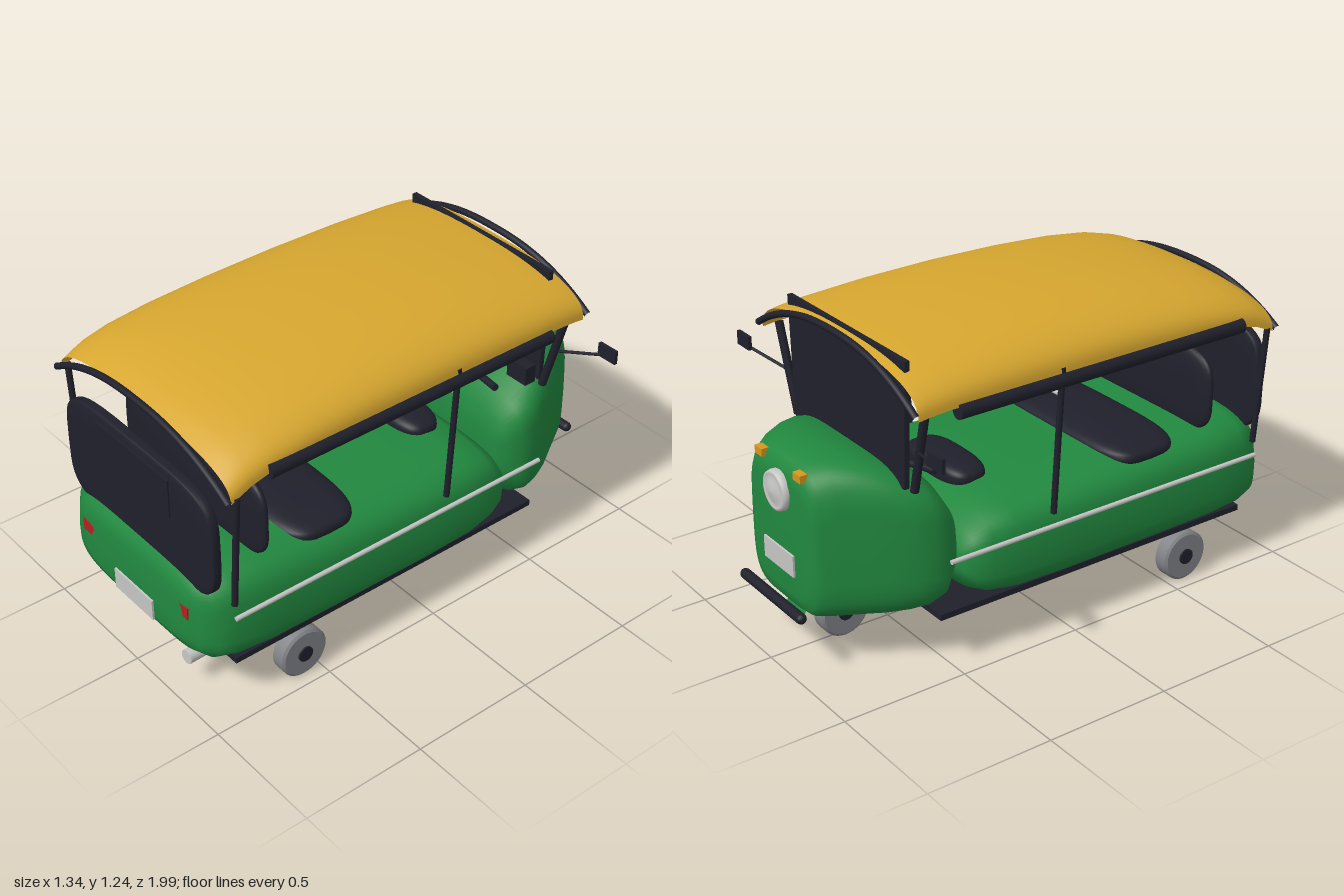
import * as THREE from 'three';

const mat = (name, color) => {
  const m = new THREE.MeshStandardMaterial({ color });
  m.name = name;
  return m;
};

export function createModel() {
  const green = mat('green paint', 0x21883f);
  const yellow = mat('yellow canopy', 0xd6a62f);
  yellow.side = THREE.DoubleSide;
  const greenSheet = green;
  greenSheet.side = THREE.DoubleSide;
  const dark = mat('dark trim', 0x20202c);
  const grey = mat('grey tyre', 0x828488);
  const silver = mat('silver metal', 0xc6c7c5);
  const red = mat('red lamp', 0xb52020);
  const amber = mat('amber lamp', 0xd8981e);

  const model = new THREE.Group();
  model.name = 'threeWheeler';
  const V = (x, y, z) => new THREE.Vector3(x, y, z);
  const add = (name, geo, material, x = 0, y = 0, z = 0) => {
    const m = new THREE.Mesh(geo, material);
    m.name = name;
    m.position.set(x, y, z);
    model.add(m);
    return m;
  };
  const box = (name, w, h, d, material, x, y, z) =>
    add(name, new THREE.BoxGeometry(w, h, d), material, x, y, z);
  const rod = (name, a, b, r, material, sides = 12) => {
    const m = add(name, new THREE.CylinderGeometry(r, r, a.distanceTo(b), sides), material);
    m.position.copy(a).lerp(b, 0.5);
    m.quaternion.setFromUnitVectors(V(0, 1, 0), b.clone().sub(a).normalize());
    return m;
  };
  const pw = (v, e) => Math.sign(v) * Math.abs(v) ** e;

  // Rounded hull from stations [z, halfWidth, bottom, top], listed toward -z
  const hull = (stations, n, taper) => {
    const N = 56, pos = [], idx = [];
    stations.forEach(([z, w, b, t]) => {
      for (let i = 0; i < N; i++) {
        const a = (i / N) * Math.PI * 2;
        const u = pw(Math.cos(a), 2 / n), v = pw(Math.sin(a), 2 / n);
        pos.push(u * w * (1 - taper * Math.max(0, v)), (b + t) / 2 + (v * (t - b)) / 2, z);
      }
    });
    const last = stations.length - 1;
    for (let s = 0; s < last; s++)
      for (let i = 0; i < N; i++) {
        const a = s * N + i, b = s * N + ((i + 1) % N);
        idx.push(a, a + N, b, b, a + N, b + N);
      }
    [0, last].forEach((s) => {
      const [z, , b, t] = stations[s], c = pos.length / 3;
      pos.push(0, (b + t) / 2, z);
      for (let i = 0; i < N; i++) {
        const p = s * N + i, q = s * N + ((i + 1) % N);
        if (s === 0) idx.push(c, p, q);
        else idx.push(c, q, p);
      }
    });
    const g = new THREE.BufferGeometry();
    g.setAttribute('position', new THREE.Float32BufferAttribute(pos, 3));
    g.setIndex(idx);
    g.computeVertexNormals();
    return g;
  };

  // Cushion: sphere reshaped to a squarish outline with a lens or slab section
  const cushion = (hx, hy, hz, n, e) => {
    const g = new THREE.SphereGeometry(1, 48, 24);
    g.rotateX(Math.PI / 2);
    const p = g.attributes.position;
    for (let i = 0; i < p.count; i++) {
      const x = p.getX(i), y = p.getY(i), z = p.getZ(i);
      const r = Math.hypot(x, y) || 1e-6, c = x / r, s = y / r;
      const k = r ** e;
      p.setXYZ(i, pw(c, 2 / n) * k * hx, pw(s, 2 / n) * k * hy, pw(z, e) * hz);
    }
    g.computeVertexNormals();
    return g;
  };

  // Passenger tub and front cowl
  add('passengerTub', hull([
    [0.982, 0.3, 0.27, 0.49], [0.968, 0.38, 0.235, 0.54], [0.93, 0.435, 0.21, 0.583],
    [0.85, 0.462, 0.197, 0.604], [0.7, 0.475, 0.193, 0.6], [0.35, 0.475, 0.19, 0.582],
    [0, 0.475, 0.19, 0.57], [-0.22, 0.47, 0.194, 0.565], [-0.33, 0.455, 0.21, 0.545],
    [-0.39, 0.435, 0.24, 0.5], [-0.43, 0.4, 0.32, 0.42],
  ], 4.5, 0.06), green);
  add('frontCowl', hull([
    [-0.435, 0.34, 0.38, 0.53], [-0.45, 0.385, 0.31, 0.61], [-0.5, 0.42, 0.225, 0.69],
    [-0.56, 0.424, 0.203, 0.738], [-0.62, 0.405, 0.196, 0.768], [-0.69, 0.372, 0.194, 0.793],
    [-0.77, 0.32, 0.195, 0.808], [-0.85, 0.268, 0.198, 0.803], [-0.9, 0.236, 0.205, 0.78],
    [-0.922, 0.215, 0.225, 0.745], [-0.932, 0.18, 0.27, 0.7],
  ], 4.5, 0.03), green);
  box('floorPlate', 0.86, 0.024, 1.41, dark, 0, 0.214, 0.155);

  // Arched canopy shell: [z, crown height, edge height]
  const roofRows = [
    [0.905, 1.105, 0.975], [0.87, 1.13, 0.99], [0.82, 1.153, 1.012], [0.72, 1.18, 1.035], [0.55, 1.207, 1.045],
    [0.3, 1.226, 1.05], [0, 1.235, 1.05], [-0.3, 1.228, 1.05], [-0.55, 1.207, 1.05],
    [-0.64, 1.195, 1.045], [-0.68, 1.185, 1.04],
  ];
  const M = 40;
  const arch = (u) => Math.max(0, 1 - Math.abs(u) ** 2.5) ** 0.4;
  const roofPos = [], roofIdx = [];
  roofRows.forEach(([z, c, e], r) => {
    for (let i = 0; i <= M; i++) {
      const u = Math.sin((i / M - 0.5) * Math.PI);
      roofPos.push(u * 0.508, e + (c - e) * arch(u), z);
      if (r && i) {
        const b = r * (M + 1) + i, a = b - M - 1;
        roofIdx.push(a - 1, a, b - 1, a, b, b - 1);
      }
    }
  });
  const roofGeo = new THREE.BufferGeometry();
  roofGeo.setAttribute('position', new THREE.Float32BufferAttribute(roofPos, 3));
  roofGeo.setIndex(roofIdx);
  roofGeo.computeVertexNormals();
  add('canopy', roofGeo, yellow);

  // Bows at both canopy ends
  [['rearBow', 0.918, 1.118, 0.985], ['frontBow', -0.693, 1.2, 1.06]].forEach(([name, z, c, e]) => {
    const pts = [];
    for (let i = 0; i <= 16; i++) {
      const u = i / 8 - 1;
      pts.push(V(u * 0.515, e + (c - e) * (1 - Math.abs(u) ** 2.4), z));
    }
    add(name, new THREE.TubeGeometry(new THREE.CatmullRomCurve3(pts), 40, 0.013, 8), dark);
  });

  // Windscreen, tapering slightly toward its foot
  const screen = new THREE.BoxGeometry(0.76, 0.48, 0.02, 1, 4, 1);
  const sp = screen.attributes.position;
  for (let i = 0; i < sp.count; i++) sp.setX(i, sp.getX(i) * (0.97 + 0.1 * sp.getY(i)));
  add('windscreen', screen, dark, 0, 0.96, -0.635);

  // Rear curtain with window flap, seats
  add('rearCurtain', cushion(0.445, 0.23, 0.028, 4.5, 0.35), dark, 0, 0.728, 0.925);
  box('rearWindow', 0.435, 0.155, 0.008, dark, 0, 0.848, 0.954);
  add('backrest', cushion(0.42, 0.18, 0.04, 4, 0.8), dark, 0, 0.725, 0.7);
  const bench = cushion(0.41, 0.17, 0.055, 4, 0.7).rotateX(-Math.PI / 2);
  add('passengerSeat', bench, dark, 0, 0.56, 0.42);
  const saddle = cushion(0.19, 0.09, 0.05, 3, 0.7).rotateX(-Math.PI / 2);
  add('driverSeat', saddle, dark, 0, 0.565, -0.23);

  // Mirrored frame, trim, lamps and mirrors
  for (const s of [-1, 1]) {
    rod('rearPost', V(s * 0.466, 0.51, 0.88), V(s * 0.505, 0.99, 0.88), 0.012, dark);
    rod('middlePost', V(s * 0.462, 0.5, -0.08), V(s * 0.5, 1.08, -0.08), 0.012, dark);
    rod('frontPost', V(s * 0.385, 0.72, -0.62), V(s * 0.475, 1.06, -0.63), 0.016, dark);
    rod('sideCurtainRoll', V(s * 0.5, 1.033, 0.75), V(s * 0.5, 1.033, -0.52), 0.029, dark, 16);
    rod('sideRail', V(s * 0.477, 0.455, 0.885), V(s * 0.477, 0.455, -0.535), 0.009, silver);
    rod('mirrorArm', V(s * 0.43, 0.885, -0.63), V(s * 0.6, 0.93, -0.69), 0.006, dark, 8);
    box('mirror', 0.085, 0.054, 0.014, dark, s * 0.628, 0.949, -0.695);
    box('tailLamp', 0.07, 0.05, 0.03, red, s * 0.29, 0.424, 0.967);
    box('indicator', 0.048, 0.03, 0.03, amber, s * 0.13, 0.758, -0.917);
    rod('handleGrip', V(s * 0.15, 0.7, -0.5), V(s * 0.29, 0.715, -0.47), 0.014, dark);
  }
  rod('handlebar', V(-0.16, 0.7, -0.5), V(0.16, 0.7, -0.5), 0.01, dark);
  rod('steeringColumn', V(0, 0.7, -0.5), V(0, 0.6, -0.56), 0.02, dark);
  box('fareMeter', 0.1, 0.075, 0.05, dark, 0.32, 0.77, -0.57);
  rod('grabBar', V(-0.49, 0.975, -0.08), V(0.49, 0.975, -0.08), 0.009, silver);

  // Number plates, headlamp, bumper
  box('rearPlate', 0.235, 0.086, 0.008, silver, 0, 0.307, 0.989);
  box('frontPlate', 0.2, 0.085, 0.008, silver, 0, 0.4, -0.942);
  const lamp = new THREE.LatheGeometry([[0, 0.036], [0.04, 0.031], [0.056, 0.022], [0.062, 0.03],
    [0.074, 0.026], [0.078, 0.01], [0.074, -0.03]].map(([x, y]) => new THREE.Vector2(x, y)).reverse(), 32);
  add('headlamp', lamp.rotateX(-Math.PI / 2), silver, 0, 0.66, -0.925);
  const bumper = add('bumper', new THREE.CapsuleGeometry(0.02, 0.39, 6, 14), dark, 0, 0.25, -0.978);
  bumper.rotation.z = Math.PI / 2;

  // Wheels with hubs
  const tyre = new THREE.LatheGeometry([[0, -0.034], [0.09, -0.034], [0.09, -0.034], [0.1, -0.026], [0.1, -0.026],
    [0.1, 0.026], [0.1, 0.026], [0.09, 0.034], [0.09, 0.034], [0, 0.034]]
    .map(([x, y]) => new THREE.Vector2(x, y)), 36).rotateZ(Math.PI / 2);
  [['leftRearWheel', 0.42, 0.575], ['rightRearWheel', -0.42, 0.575], ['frontWheel', 0, -0.7]].forEach(([name, x, z]) => {
    add(name, tyre, grey, x, 0.1, z);
    rod(name + 'Hub', V(x - 0.041, 0.1, z), V(x + 0.041, 0.1, z), 0.031, dark, 20);
  });

  // One-sided front fork and mudguard
  rod('frontFork', V(0.055, 0.09, -0.7), V(0.055, 0.24, -0.7), 0.015, dark);
  const guard = new THREE.CylinderGeometry(0.2, 0.2, 0.125, 28, 1, true, -1.25, 2.5);
  guard.rotateZ(Math.PI / 2).rotateX(-Math.PI / 2);
  guard.computeBoundingBox();
  if (guard.boundingBox.max.y < 0.15) guard.rotateX(Math.PI);
  add('frontMudguard', guard, green, 0, 0.1, -0.7);

  // Exhaust pipe
  rod('exhaust', V(0.23, 0.133, 0.935), V(0.21, 0.122, 0.55), 0.028, silver, 18);

  return model;
}
